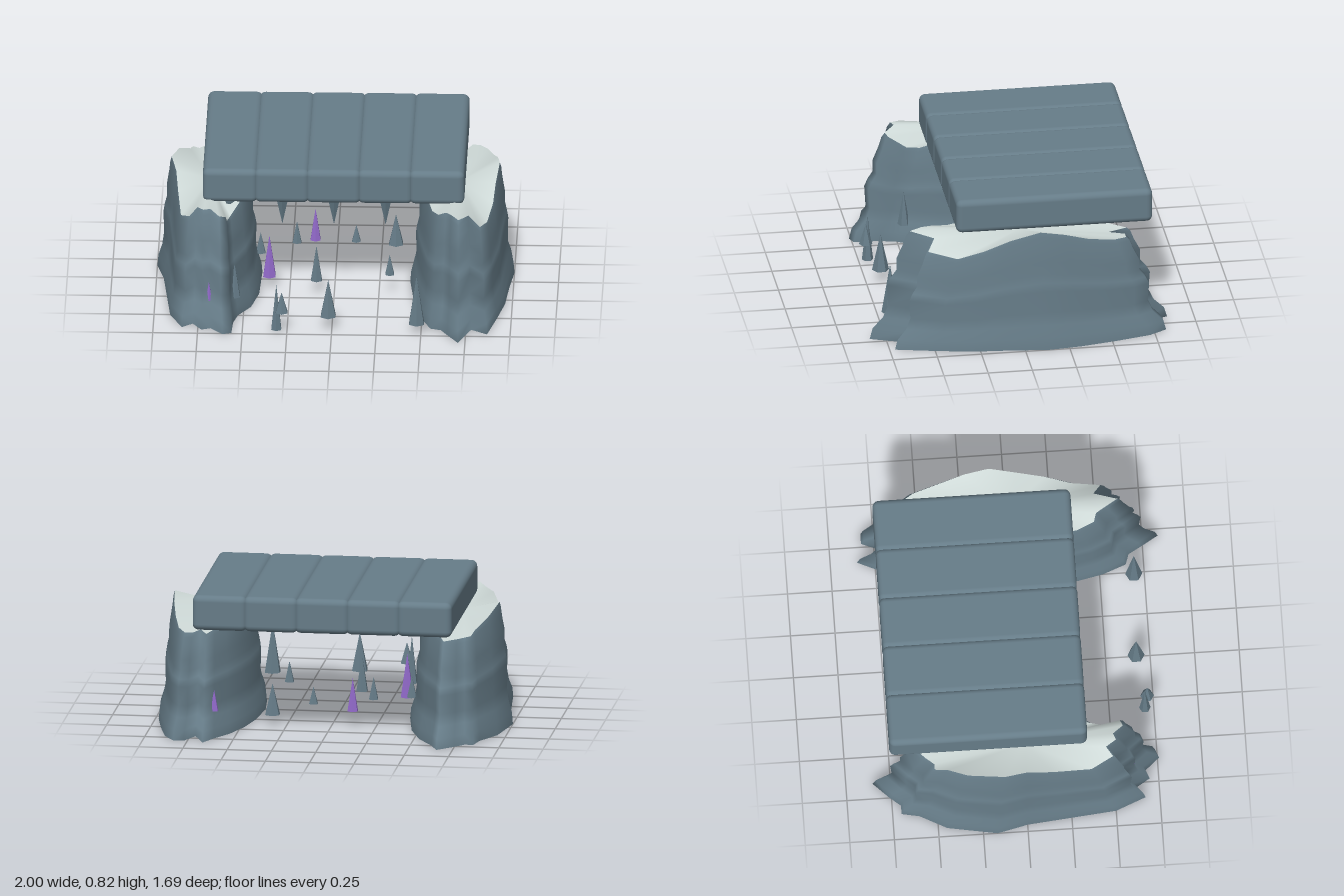
import * as THREE from 'three';
import { RoundedBoxGeometry } from 'three/addons/geometries/RoundedBoxGeometry.js';

const rock = new THREE.MeshStandardMaterial({ color: 0x667c88, side: THREE.DoubleSide });
rock.name = 'slate rock';
const pale = new THREE.MeshStandardMaterial({ color: 0xcfdad8, side: THREE.DoubleSide });
pale.name = 'pale ledge';
const spike = new THREE.MeshStandardMaterial({ color: 0x647a86, flatShading: true });
spike.name = 'spike stone';
const crystal = new THREE.MeshStandardMaterial({ color: 0x9068c8, flatShading: true });
crystal.name = 'purple crystal';

// Wall footprints: [distance from centre line, z, rim height], front tip -> outside -> back -> inside
const LEFT_WALL = [
  [0.71, 0.84, 0.65], [0.78, 0.66, 0.62], [0.87, 0.72, 0.57], [0.92, 0.50, 0.53],
  [0.96, 0.30, 0.58], [0.975, 0.10, 0.64], [1.0, -0.13, 0.69], [0.98, -0.32, 0.66],
  [0.94, -0.52, 0.61], [0.89, -0.72, 0.58], [0.83, -0.82, 0.57], [0.77, -0.82, 0.57],
  [0.72, -0.70, 0.57], [0.66, -0.85, 0.57], [0.61, -0.74, 0.58], [0.54, -0.62, 0.60],
  [0.48, -0.45, 0.61], [0.44, -0.25, 0.61], [0.42, 0, 0.61], [0.44, 0.20, 0.61],
  [0.47, 0.38, 0.61], [0.50, 0.52, 0.60], [0.55, 0.65, 0.62], [0.61, 0.67, 0.64], [0.65, 0.74, 0.65],
];
const RIGHT_WALL = [
  [0.61, 0.76, 0.63], [0.68, 0.68, 0.65], [0.73, 0.70, 0.65], [0.78, 0.62, 0.64],
  [0.84, 0.67, 0.60], [0.91, 0.50, 0.55], [0.94, 0.20, 0.60], [0.96, 0, 0.66],
  [1.0, -0.17, 0.69], [0.95, -0.45, 0.65], [0.87, -0.60, 0.60], [0.85, -0.70, 0.58],
  [0.80, -0.70, 0.57], [0.75, -0.76, 0.57], [0.66, -0.85, 0.57], [0.62, -0.75, 0.58],
  [0.53, -0.60, 0.60], [0.46, -0.40, 0.61], [0.41, -0.10, 0.61], [0.42, 0.20, 0.61],
  [0.46, 0.38, 0.60], [0.53, 0.50, 0.55], [0.555, 0.60, 0.55], [0.56, 0.74, 0.62],
];
// Weathered strata: [fraction of rim height, footprint scale]
const STRATA = [[0, 1], [0.1, 0.98], [0.2, 0.91], [0.31, 0.875], [0.5, 0.885], [0.57, 0.86],
  [0.64, 0.82], [0.75, 0.82], [0.88, 0.775], [0.96, 0.755], [1, 0.73]];

function indexed(pos, idx) {
  const g = new THREE.BufferGeometry();
  g.setAttribute('position', new THREE.Float32BufferAttribute(pos, 3));
  g.setIndex(idx);
  g.computeVertexNormals();
  return g;
}

// Open-bottomed rock wall and the pale ledge closing its top
function makeWall(outline, side, name) {
  const group = new THREE.Group();
  group.name = name;
  const n = outline.length, cx = 0.7;
  const ring = ([f, s]) => outline.flatMap(([x, z, h]) => [side * (cx + (x - cx) * s), h * f, z * s]);
  const tri = (list, a, b, c) => (side > 0 ? list.push(a, b, c) : list.push(a, c, b));

  const wallIdx = [];
  for (let l = 0; l < STRATA.length - 1; l++) {
    for (let i = 0; i < n; i++) {
      const j = (i + 1) % n, a = l * n, b = a + n;
      tri(wallIdx, a + i, a + j, b + j);
      tri(wallIdx, a + i, b + j, b + i);
    }
  }
  const wall = new THREE.Mesh(indexed(STRATA.flatMap(ring), wallIdx), rock);
  wall.name = 'rockFace';

  const capIdx = [];
  for (let i = 0; i < n; i++) tri(capIdx, n, i, (i + 1) % n);
  const cap = new THREE.Mesh(indexed([...ring(STRATA.at(-1)), side * cx, 0.615, 0], capIdx), pale);
  cap.name = 'paleLedge';
  group.add(wall, cap);
  return group;
}

// Six-sided cone; a negative height hangs downward
function makeSpike(x, y, z, height, radius, material, name) {
  const g = new THREE.ConeGeometry(radius, Math.abs(height), 6);
  if (height < 0) g.rotateX(Math.PI);
  const mesh = new THREE.Mesh(g, material);
  mesh.position.set(x, y + height / 2, z);
  mesh.name = name;
  return mesh;
}

export function createModel() {
  const model = new THREE.Group();
  model.name = 'caveShelter';
  model.add(makeWall(LEFT_WALL, 1, 'leftWall'), makeWall(RIGHT_WALL, -1, 'rightWall'));

  // Roof slabs, each with a hanging spike
  for (let i = -2; i <= 2; i++) {
    const slab = new THREE.Mesh(new RoundedBoxGeometry(0.308, 0.2, 1.11, 3, 0.035), rock);
    slab.position.set(i * 0.289, 0.72, -0.205);
    slab.name = 'roofSlab';
    model.add(slab, makeSpike(i * 0.289, 0.63, 0.24, -0.18, 0.042, spike, 'stalactite'));
  }

  // Ground spikes: x, base y, z, height, radius
  const stones = [
    [-0.31, 0.01, 0.70, 0.27, 0.032], [-0.28, 0.12, 0.715, 0.12, 0.038],
    [-0.02, 0.08, 0.67, 0.22, 0.048], [0.475, 0.05, 0.69, 0.29, 0.048],
    [-0.22, 0.13, -0.22, 0.13, 0.028], [-0.10, 0.08, 0.18, 0.21, 0.035],
    [0.11, 0.11, -0.29, 0.10, 0.027], [0.33, 0.06, -0.37, 0.18, 0.045],
    [0.31, 0.12, 0.18, 0.12, 0.028], [-0.55, 0.10, 0.46, 0.20, 0.035],
    [-0.42, 0.12, -0.10, 0.12, 0.03],
  ];
  for (const s of stones) model.add(makeSpike(...s, spike, 'stalagmite'));

  const crystals = [
    [-0.69, 0.14, 0.60, 0.11, 0.02], [-0.365, 0.07, 0.11, 0.25, 0.04],
    [-0.12, 0.09, -0.35, 0.19, 0.032], [0.62, 0.14, -0.66, 0.12, 0.025],
  ];
  for (const c of crystals) model.add(makeSpike(...c, crystal, 'crystal'));
  return model;
}
